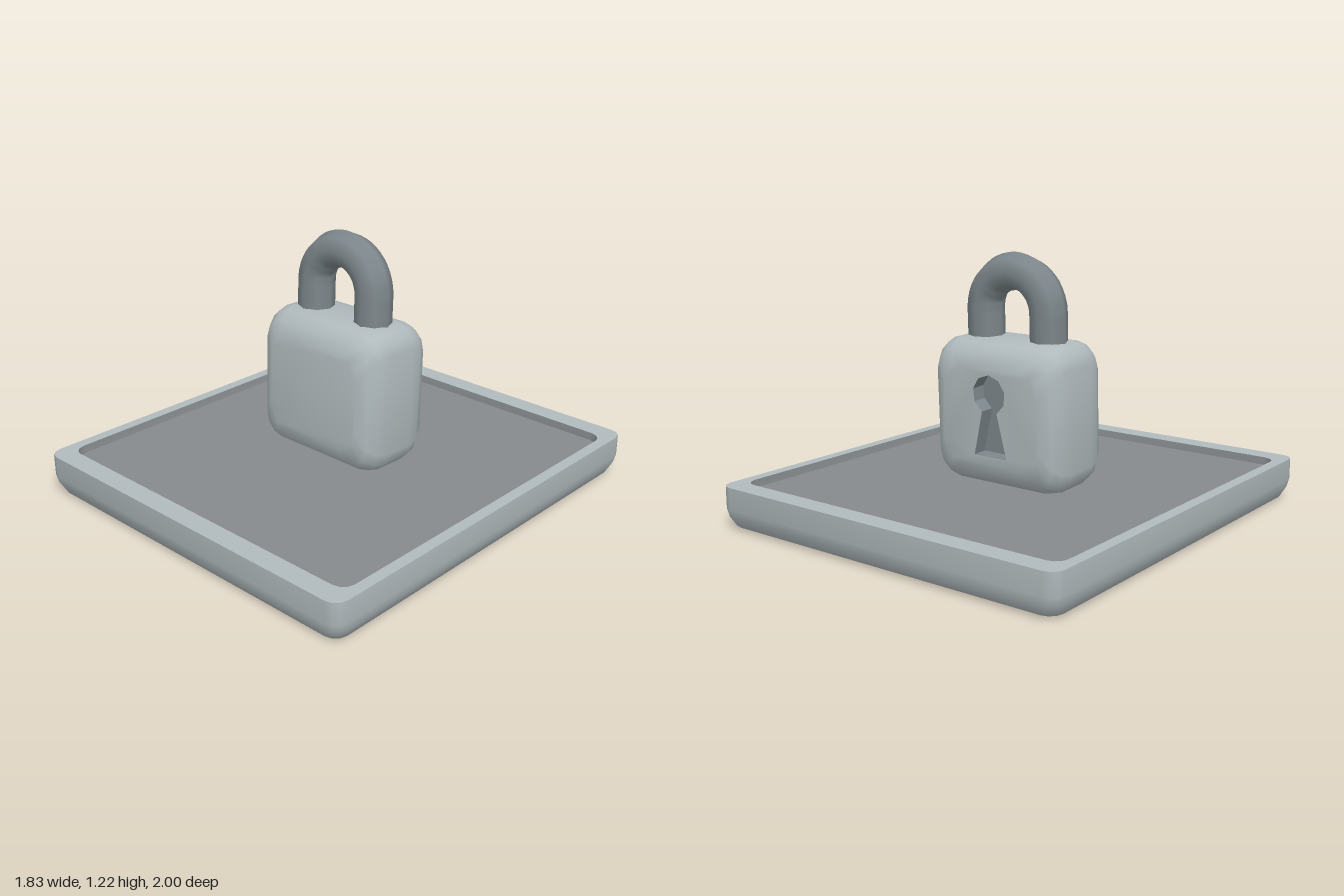
import * as THREE from 'three';
import { mergeGeometries, toCreasedNormals } from 'three/addons/utils/BufferGeometryUtils.js';

// Rounded rectangle outline, counter-clockwise
function outline(hx, hy, r, steps = 3) {
  const pts = [];
  [[1, 1], [-1, 1], [-1, -1], [1, -1]].forEach(([sx, sy], q) => {
    for (let i = 0; i <= steps; i++) {
      const a = (q + i / steps) * Math.PI / 2;
      pts.push(new THREE.Vector2(sx * (hx - r) + r * Math.cos(a), sy * (hy - r) + r * Math.sin(a)));
    }
  });
  return pts;
}

// Skin between rings { pts, z }, left open at both ends
function loft(rings) {
  const pos = [];
  for (let k = 0; k < rings.length - 1; k++) {
    const a = rings[k], b = rings[k + 1], n = a.pts.length;
    for (let i = 0; i < n; i++) {
      const j = (i + 1) % n;
      for (const [ring, m] of [[a, i], [a, j], [b, j], [a, i], [b, j], [b, i]])
        pos.push(ring.pts[m].x, ring.pts[m].y, ring.z);
    }
  }
  const g = new THREE.BufferGeometry();
  g.setAttribute('position', new THREE.Float32BufferAttribute(pos, 3));
  return g;
}

// Flat end face, optionally holed, facing +z or -z
function cap(pts, z, facing = 1, hole = null) {
  const shape = new THREE.Shape(pts);
  if (hole) shape.holes.push(new THREE.Path(hole));
  const g = new THREE.ShapeGeometry(shape).toNonIndexed();
  g.deleteAttribute('uv');
  g.deleteAttribute('normal');
  if (facing < 0) g.rotateY(Math.PI);
  return g.translate(0, 0, z);
}

const join = (parts, crease) => toCreasedNormals(mergeGeometries(parts), crease);

export function createModel() {
  const light = new THREE.MeshStandardMaterial({ color: 0xb0babd });
  light.name = 'lightGrey';
  const floorGrey = new THREE.MeshStandardMaterial({ color: 0x868a8c });
  floorGrey.name = 'floorGrey';
  const steel = new THREE.MeshStandardMaterial({ color: 0x7d878b });
  steel.name = 'steelGrey';

  const model = new THREE.Group();
  const add = (parent, name, geometry, material) => {
    const mesh = new THREE.Mesh(geometry, material);
    mesh.name = name;
    parent.add(mesh);
    return mesh;
  };

  // Tray with softened underside and flat rim
  const tray = new THREE.Group();
  tray.name = 'tray';
  tray.rotation.x = -Math.PI / 2;
  model.add(tray);
  const HX = 0.915, HZ = 1;
  const shell = [[0.075, 0], [0.03, 0.015], [0.008, 0.06], [0, 0.1], [0, 0.2]]
    .map(([inset, z]) => ({ pts: outline(HX - inset, HZ - inset, 0.06), z }));
  const inner = outline(0.862, 0.903, 0.06);
  const rim = { pts: inner, z: 0.2 };
  add(tray, 'trayShell', join([loft([...shell, rim]), cap(shell[0].pts, 0, -1)], 0.9), light);

  // Sunken tray floor and its walls
  const floorPts = outline(0.855, 0.896, 0.055);
  add(tray, 'trayFloor', join([loft([rim, { pts: floorPts, z: 0.165 }]), cap(floorPts, 0.165)], 0.6), floorGrey);

  // Padlock, leaning slightly backwards
  const padlock = new THREE.Group();
  padlock.name = 'padlock';
  padlock.position.set(-0.017, 0.5, -0.035);
  padlock.rotation.x = -0.036;
  model.add(padlock);

  // Keyhole outline: flared slot below a round opening
  const keyhole = [new THREE.Vector2(-0.09, -0.175), new THREE.Vector2(0.09, -0.175)];
  for (let i = 0; i <= 8; i++) {
    const a = THREE.MathUtils.degToRad(-63 + 306 * i / 8);
    keyhole.push(new THREE.Vector2(0.09 * Math.cos(a), 0.11 + 0.09 * Math.sin(a)));
  }

  // Pillow-edged body, with the keyhole opening at the back
  const half = [[0.265, 0.22, 0.212], [0.315, 0.29, 0.185], [0.338, 0.322, 0.135], [0.345, 0.335, 0.08]];
  const toRing = side => ([hx, hy, z]) => ({ pts: outline(hx, hy, 0.1), z: side * z });
  const rings = [...half.map(toRing(-1)), ...half.map(toRing(1)).reverse()];
  add(padlock, 'lockBody', join([
    loft(rings),
    cap(rings[0].pts, -0.212, -1, keyhole),
    cap(rings[7].pts, 0.212),
  ], 1.0), light);

  // Keyhole recess
  const recess = join([loft([{ pts: keyhole, z: 0.212 }, { pts: keyhole, z: 0.14 }]), cap(keyhole, 0.14)], 0.6);
  add(padlock, 'keyhole', recess.rotateY(Math.PI), steel);

  // Shackle: two legs joined by a half circle
  const R = 0.175, arcY = 0.46;
  const path = new THREE.CurvePath();
  const arc = [];
  for (let i = 0; i <= 16; i++) {
    const a = Math.PI * (1 - i / 16);
    arc.push(new THREE.Vector3(R * Math.cos(a), arcY + R * Math.sin(a), 0));
  }
  path.add(new THREE.LineCurve3(new THREE.Vector3(-R, 0.25, 0), arc[0]));
  for (let i = 0; i < 16; i++) path.add(new THREE.LineCurve3(arc[i], arc[i + 1]));
  path.add(new THREE.LineCurve3(arc[16], new THREE.Vector3(R, 0.25, 0)));
  const shackle = add(padlock, 'shackle', new THREE.TubeGeometry(path, 40, 0.086, 8), steel);
  shackle.position.set(-0.003, 0, 0.003);

  return model;
}
